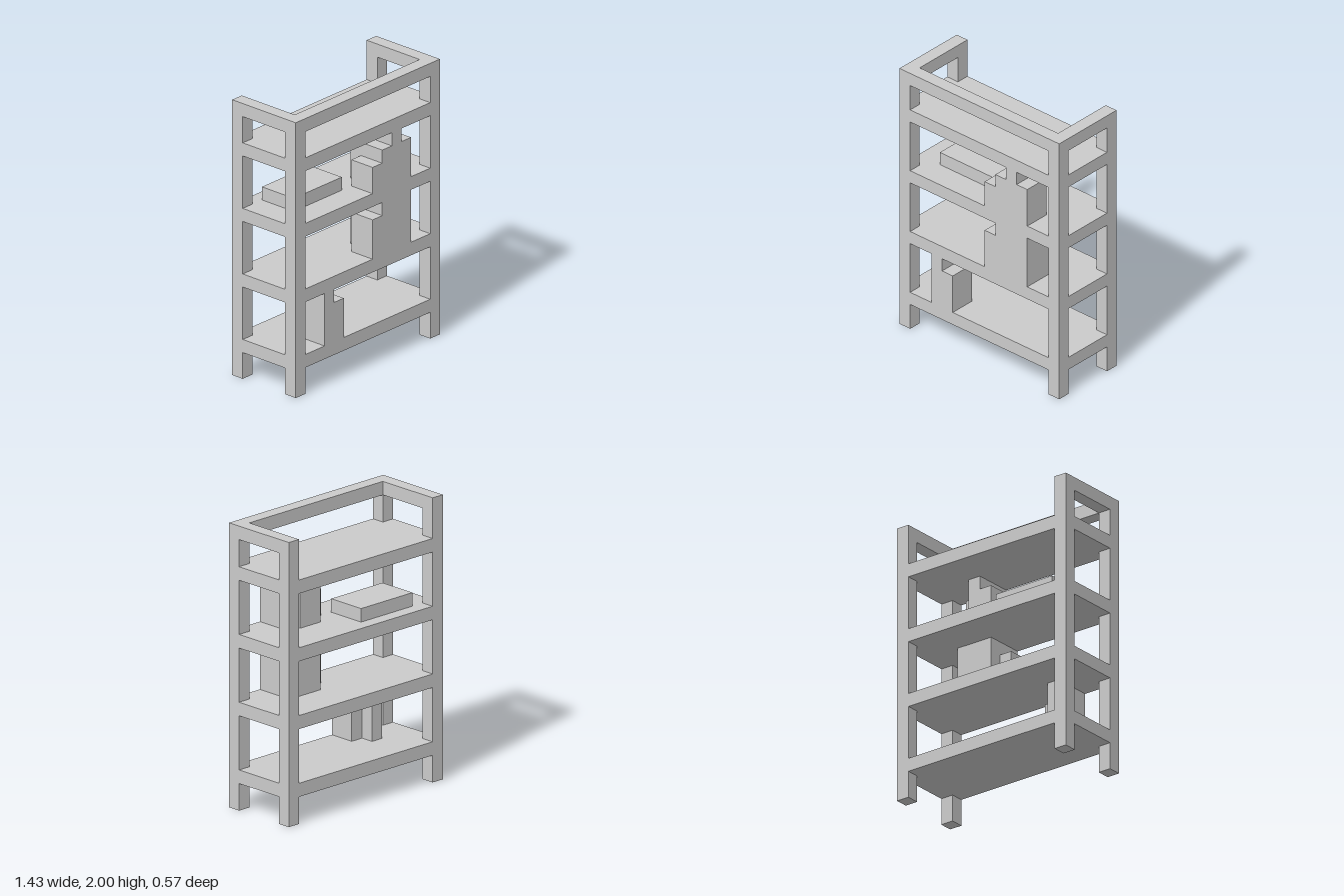
import * as THREE from 'three';

const U = 2 / 21; // timber thickness, used as the module of the whole rack
const W = 7.5;    // half width in modules
const D = 3;      // half depth in modules
const H = 21;     // height in modules

const material = new THREE.MeshStandardMaterial({ color: 0xcccccc, flatShading: true });

// Box spanning two corners, given in modules
function block(parent, name, [x0, x1], [y0, y1], [z0, z1]) {
  const geometry = new THREE.BoxGeometry((x1 - x0) * U, (y1 - y0) * U, (z1 - z0) * U);
  const mesh = new THREE.Mesh(geometry, material);
  mesh.position.set((x0 + x1) / 2 * U, (y0 + y1) / 2 * U, (z0 + z1) / 2 * U);
  mesh.name = name;
  parent.add(mesh);
}

export function createModel() {
  const model = new THREE.Group();
  model.name = 'shelvingUnit';

  const frame = new THREE.Group();
  frame.name = 'frame';
  const books = new THREE.Group();
  books.name = 'books';
  model.add(frame, books);

  const shelfLevels = [2, 7, 12, 17];
  const sides = [['left', W - 1, W], ['right', -W, -W + 1]];

  for (const [side, x0, x1] of sides) {
    // Corner posts
    block(frame, side + 'FrontPost', [x0, x1], [0, H], [D - 1, D]);
    block(frame, side + 'BackPost', [x0, x1], [0, H], [-D, -D + 1]);
    // Side rails at every shelf and at the top
    for (const y of [...shelfLevels, H - 1]) {
      block(frame, side + 'Rail', [x0, x1], [y, y + 1], [-D + 1, D - 1]);
    }
  }

  // Shelves, and the top rail along the front only
  for (const y of shelfLevels) {
    block(frame, 'shelf', [-W + 1, W - 1], [y, y + 1], [-D, D]);
  }
  block(frame, 'topFrontRail', [-W + 1, W - 1], [H - 1, H], [D - 1, D]);

  // Upright books flush with the front: shelf top, x range, height, depth
  const upright = [
    [3, -4.5, -3.5, 4, 3],
    [3, -3.5, -2.5, 3, 2],
    [8, 0.5, 1.5, 3, 2],
    [8, 1.5, 4.5, 4, 3],
    [13, 0.5, 1.5, 2, 2],
    [13, 1.5, 2.5, 3, 3],
    [13, 2.5, 3.5, 4, 3],
    [13, 3.5, 4.5, 3, 2],
  ];
  for (const [y, x0, x1, height, depth] of upright) {
    block(books, 'uprightBook', [x0, x1], [y, y + height], [D - depth, D]);
  }

  // Flat box lying on the third shelf
  block(model, 'flatBox', [-5.5, -0.5], [13, 14], [-2, 1]);

  return model;
}
